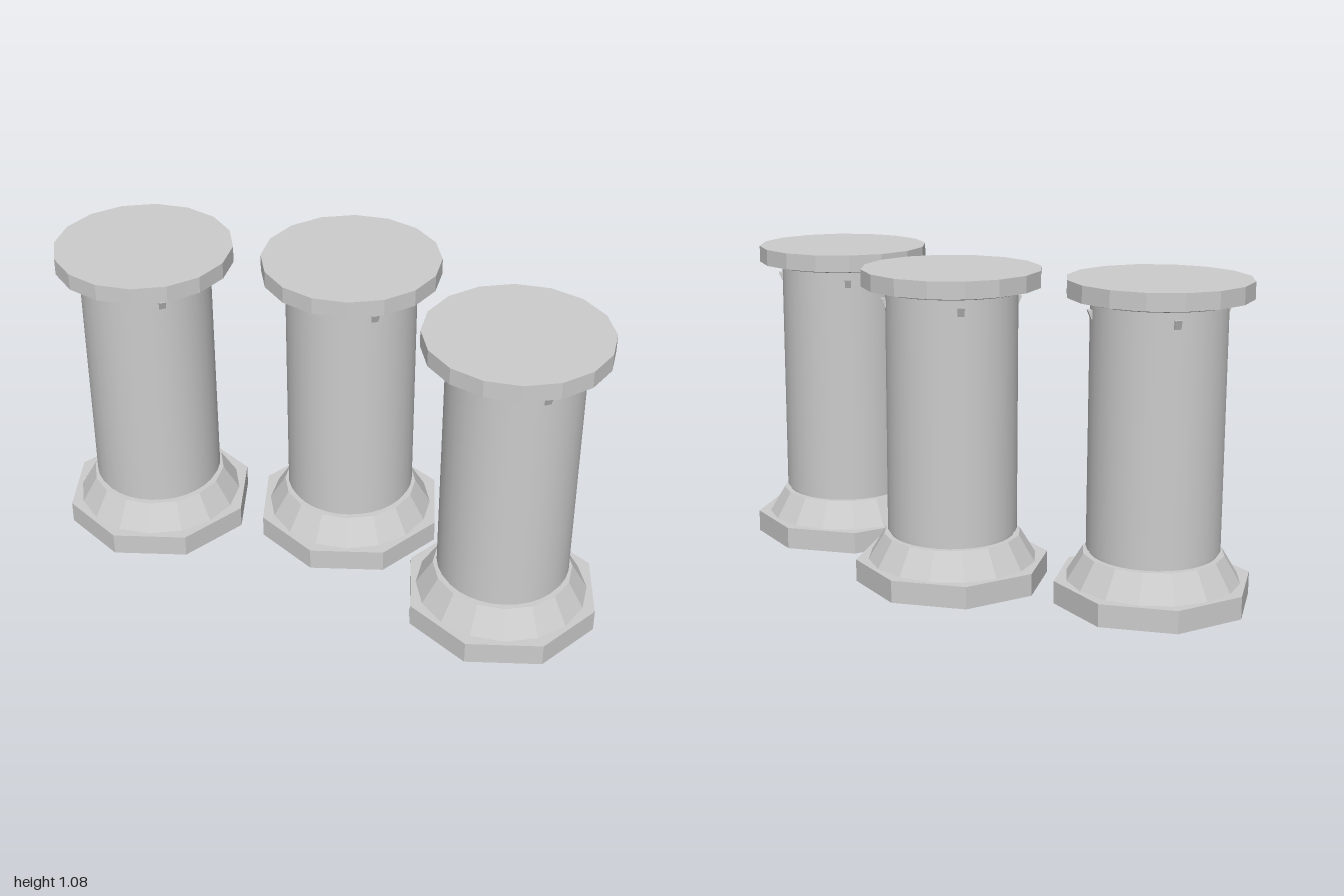
import * as THREE from 'three';

const stone = new THREE.MeshStandardMaterial({ color: 0xcccccc });
stone.name = 'paleStone';

// Cylinder section between two heights; faceted sections get flat normals
function section(name, rTop, rBottom, y0, y1, sides, faceted) {
  let geo = new THREE.CylinderGeometry(rTop, rBottom, y1 - y0, sides);
  if (faceted) {
    geo = geo.toNonIndexed();
    geo.computeVertexNormals();
  }
  const mesh = new THREE.Mesh(geo, stone);
  mesh.name = name;
  mesh.position.y = (y0 + y1) / 2;
  return mesh;
}

// Small wedge peg that sticks out further at its top
function peg(angle) {
  const shape = new THREE.Shape([
    new THREE.Vector2(0.2, 0.951),
    new THREE.Vector2(0.224, 0.951),
    new THREE.Vector2(0.236, 0.98),
    new THREE.Vector2(0.2, 0.98),
  ]);
  const geo = new THREE.ExtrudeGeometry(shape, { depth: 0.022, bevelEnabled: false });
  geo.translate(0, 0, -0.011);
  const mesh = new THREE.Mesh(geo, stone);
  mesh.name = 'peg';
  mesh.rotation.y = angle;
  return mesh;
}

// Thin stepped ring under the cap, with a groove around the shaft
function capRing() {
  const points = [[0.24, 1.021], [0.24, 1.011], [0.262, 1.011], [0.268, 1.014], [0.268, 1.021]];
  let geo = new THREE.LatheGeometry(points.map(([r, y]) => new THREE.Vector2(r, y)), 32);
  geo = geo.toNonIndexed();
  geo.computeVertexNormals();
  const mesh = new THREE.Mesh(geo, stone);
  mesh.name = 'capRing';
  return mesh;
}

function pillar() {
  const g = new THREE.Group();
  g.name = 'pillar';
  g.add(
    section('octagonalPlinth', 0.333, 0.333, 0, 0.077, 8, true),
    section('slopedFoot', 0.235, 0.29, 0.077, 0.168, 16, true),
    section('neck', 0.213, 0.213, 0.168, 0.182, 32, false),
    section('shaft', 0.222, 0.222, 0.182, 1.02, 32, false),
    capRing(),
    section('cap', 0.302, 0.302, 1.02, 1.077, 16, true),
  );
  // Four pegs on the diagonals
  for (let i = 0; i < 4; i++) g.add(peg(Math.PI / 4 + (i * Math.PI) / 2));
  return g;
}

export function createModel() {
  const model = new THREE.Group();
  model.name = 'pillars';
  // The middle pillar is set back from the outer two
  for (const [x, z] of [[-0.667, 0.11], [0, -0.11], [0.667, 0.11]]) {
    const p = pillar();
    p.position.set(x, 0, z);
    model.add(p);
  }
  return model;
}
